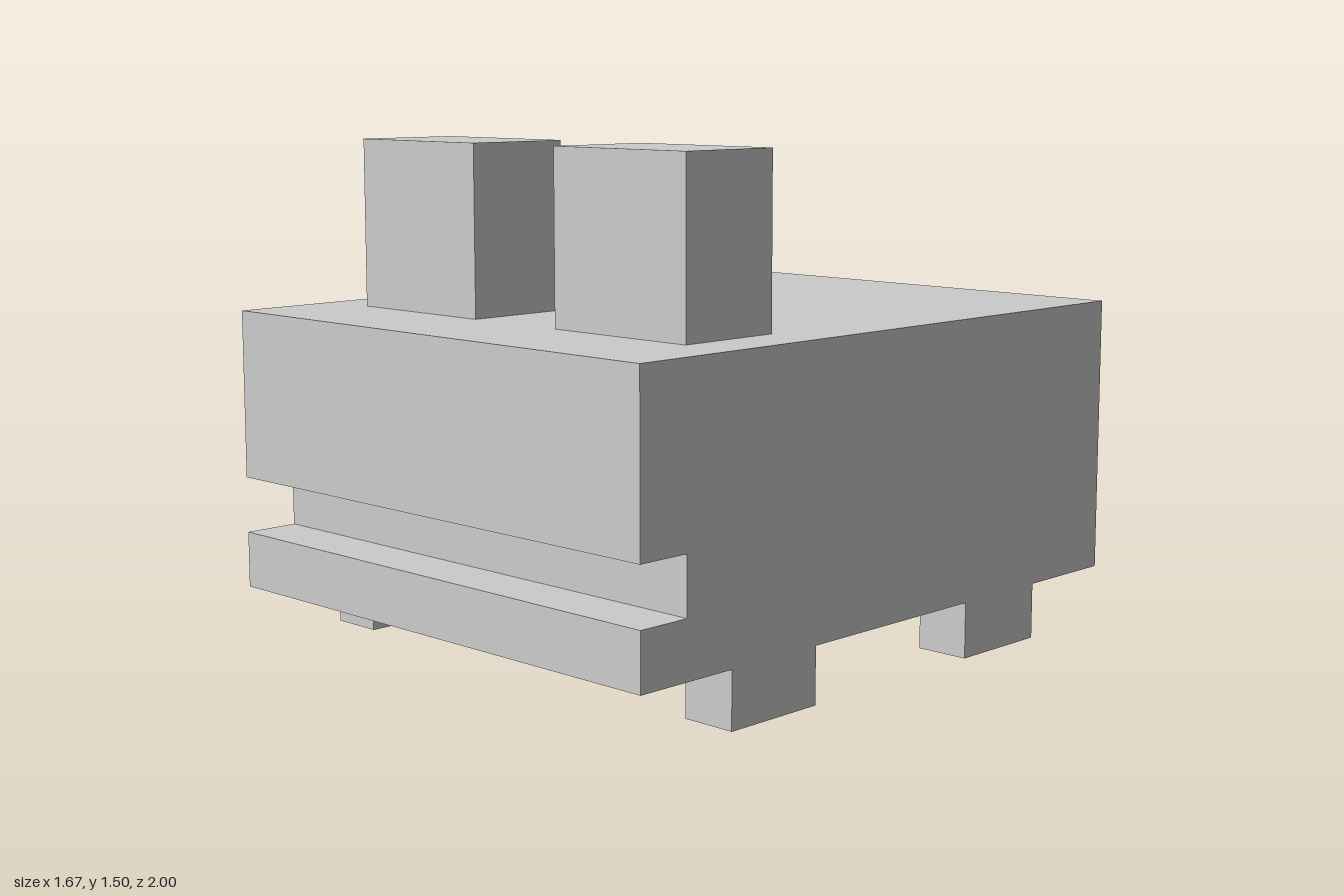
import * as THREE from 'three';

const U = 1 / 6; // everything sits on a grid of sixths

export function createModel() {
  const model = new THREE.Group();
  const material = new THREE.MeshStandardMaterial({ color: 0xcccccc, flatShading: true });

  const add = (name, geometry) => {
    const mesh = new THREE.Mesh(geometry, material);
    mesh.name = name;
    model.add(mesh);
    return mesh;
  };
  // box by size and centre, in grid units
  const box = (name, w, h, d, x, y, z) =>
    add(name, new THREE.BoxGeometry(w * U, h * U, d * U)).position.set(x * U, y * U, z * U);

  // body: side profile (z, y) with the mouth slot cut into the front, extruded across x
  const profile = [[-6, 1], [6, 1], [6, 2], [5, 2], [5, 3], [6, 3], [6, 6], [-6, 6]];
  const shape = new THREE.Shape(profile.map(([z, y]) => new THREE.Vector2(z * U, y * U)));
  const body = new THREE.ExtrudeGeometry(shape, { depth: 10 * U, bevelEnabled: false });
  body.translate(0, 0, -5 * U).rotateY(-Math.PI / 2);
  add('body', body);

  // mirrored eye blocks and feet
  for (const [side, s] of [['left', 1], ['right', -1]]) {
    box(`${side}Eye`, 3, 3, 2, s * 2.5, 7.5, 3);
    box(`${side}FrontFoot`, 1, 1, 2, s * 4.5, 0.5, 3);
    box(`${side}BackFoot`, 1, 1, 2, s * 4.5, 0.5, -3);
  }
  return model;
}
